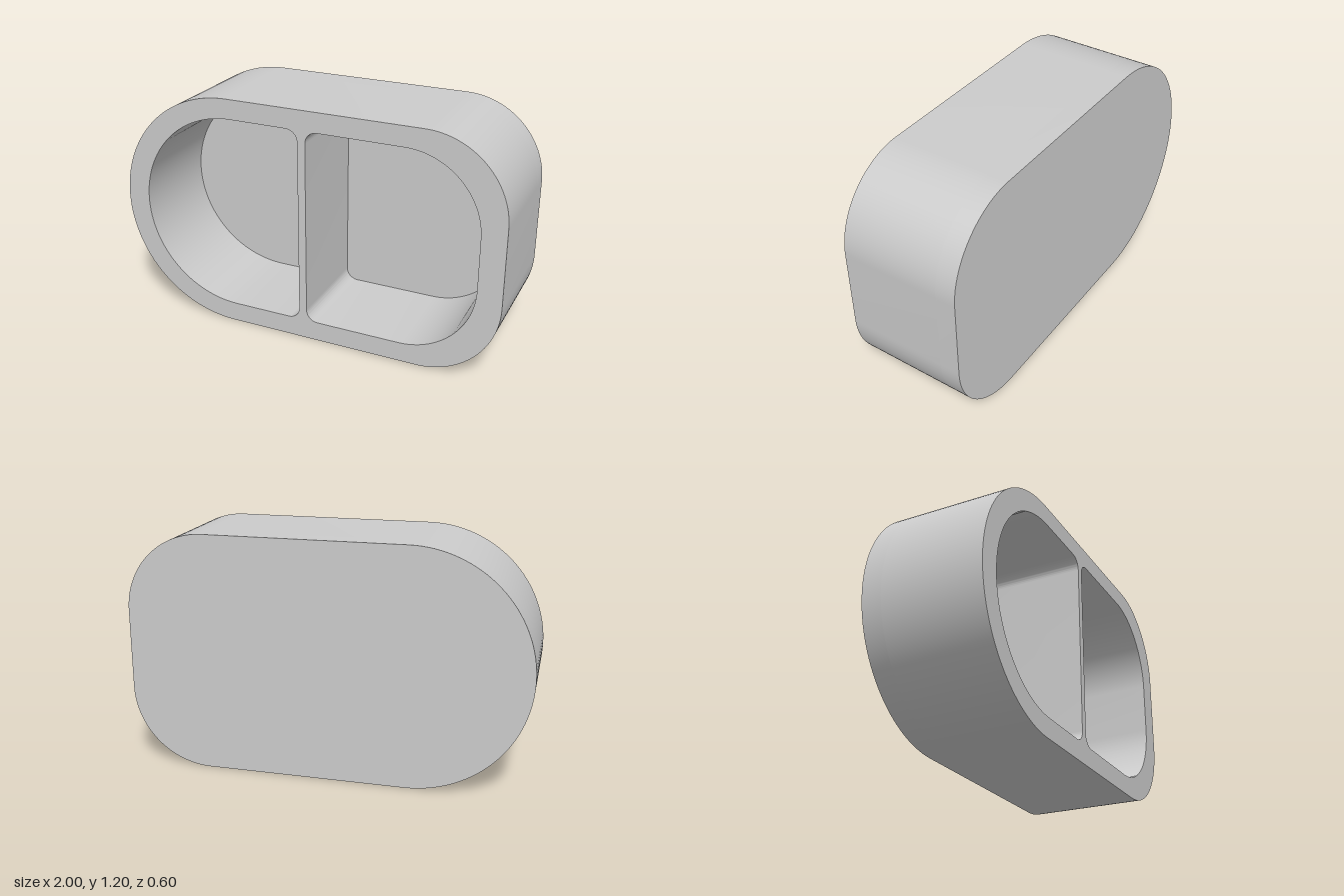
import * as THREE from 'three';
import { toCreasedNormals } from 'three/addons/utils/BufferGeometryUtils.js';

const BACK = -0.3, FLOOR = -0.2, FRONT = 0.3;

// Rectangle with one corner radius on its left end and another on its right end
function roundedOutline(x0, x1, y0, y1, rLeft, rRight) {
  const q = Math.PI / 2;
  const shape = new THREE.Shape();
  shape.moveTo(x0 + rLeft, y0);
  shape.absarc(x1 - rRight, y0 + rRight, rRight, -q, 0);
  shape.absarc(x1 - rRight, y1 - rRight, rRight, 0, q);
  shape.absarc(x0 + rLeft, y1 - rLeft, rLeft, q, 2 * q);
  shape.absarc(x0 + rLeft, y0 + rLeft, rLeft, 2 * q, 3 * q);
  return shape;
}

function extrude(name, shape, z0, z1, material) {
  const raw = new THREE.ExtrudeGeometry(shape, { depth: z1 - z0, bevelEnabled: false, curveSegments: 16 });
  const mesh = new THREE.Mesh(toCreasedNormals(raw, 0.5), material);
  mesh.position.z = z0;
  mesh.name = name;
  return mesh;
}

export function createModel() {
  const group = new THREE.Group();
  group.name = 'dividedTray';
  const material = new THREE.MeshStandardMaterial({ color: 0xcccccc });
  const outline = () => roundedOutline(-1, 1, 0, 1.2, 0.6, 0.4);

  // Outer wall and thin divider, left by cutting two pockets
  const wall = outline();
  wall.holes.push(
    roundedOutline(-0.88, -0.02, 0.1, 1.1, 0.5, 0.06),
    roundedOutline(0.02, 0.88, 0.1, 1.1, 0.06, 0.37)
  );
  group.add(extrude('wallAndDivider', wall, FLOOR, FRONT, material));

  // Closed back, which is also the pocket floor
  group.add(extrude('backPanel', outline(), BACK, FLOOR, material));
  return group;
}
